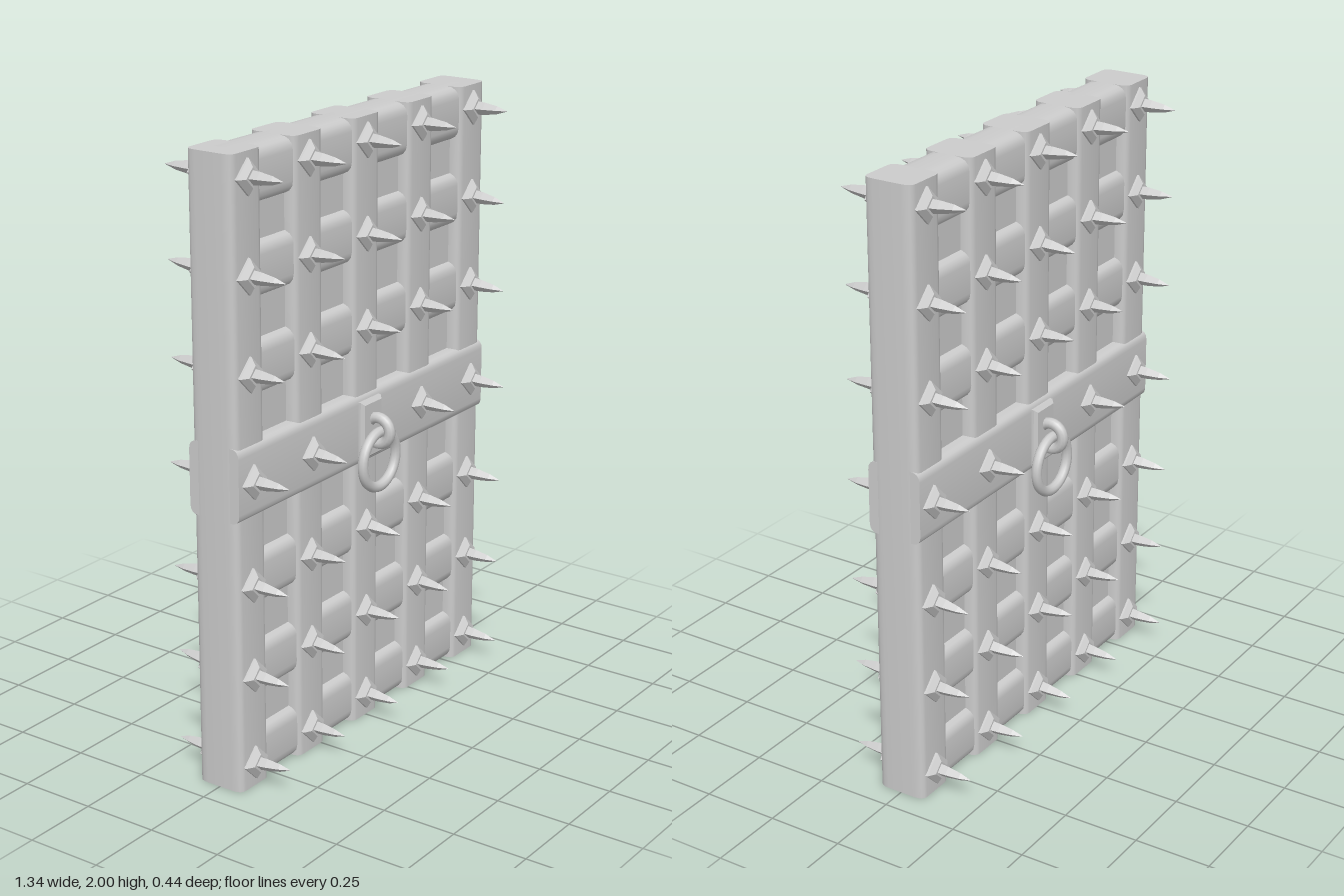
import * as THREE from 'three';
import { toCreasedNormals } from 'three/addons/utils/BufferGeometryUtils.js';

const material = new THREE.MeshStandardMaterial({ color: 0xcccccc });
const columns = [-0.596, -0.298, 0, 0.298, 0.596];
const rows = [0.08, 0.375, 0.672, 1.337, 1.633, 1.925];
const bandY = 1.006;

function add(parent, name, geometry, x = 0, y = 0, z = 0) {
  const mesh = new THREE.Mesh(geometry, material);
  mesh.name = name;
  mesh.position.set(x, y, z);
  parent.add(mesh);
  return mesh;
}

// Straight bar with softened long edges, centred, running along z
function softBar(halfW, halfD, cornerW, cornerD, length) {
  const s = new THREE.Shape();
  const w = halfW - cornerW, d = halfD - cornerD;
  s.moveTo(w, -halfD);
  s.quadraticCurveTo(halfW, -halfD, halfW, -d);
  s.lineTo(halfW, d);
  s.quadraticCurveTo(halfW, halfD, w, halfD);
  s.lineTo(-w, halfD);
  s.quadraticCurveTo(-halfW, halfD, -halfW, d);
  s.lineTo(-halfW, -d);
  s.quadraticCurveTo(-halfW, -halfD, -w, -halfD);
  s.closePath();
  const g = new THREE.ExtrudeGeometry(s, { depth: length, bevelEnabled: false, curveSegments: 4 });
  g.translate(0, 0, -length / 2);
  return toCreasedNormals(g, 0.9);
}

// Four-sided turned solid with flat faces, pointing along +z
function fourSided(profile) {
  const points = profile.map(([r, h]) => new THREE.Vector2(r, h));
  const g = new THREE.LatheGeometry(points, 4).toNonIndexed();
  g.computeVertexNormals();
  return g.rotateX(Math.PI / 2);
}

let seed = 7;
function jitter(amount) {
  seed = (seed * 16807) % 2147483647;
  return (seed / 2147483647 - 0.5) * 2 * amount;
}

export function createModel() {
  const door = new THREE.Group();
  door.name = 'door';

  // Vertical planks
  const plank = softBar(0.073, 0.083, 0.024, 0.035, 2).rotateX(Math.PI / 2);
  for (const x of columns) add(door, 'plank', plank, x, 1, 0);

  // Cross slats and the thin panel behind them
  const slat = softBar(0.074, 0.086, 0.045, 0.04, 1.2).rotateY(Math.PI / 2).rotateX(Math.PI);
  for (const y of rows) add(door, 'slat', slat, 0, y === 0.08 ? 0.086 : Math.min(y, 1.914), 0);
  add(door, 'panel', new THREE.BoxGeometry(1.2, 1.96, 0.09), 0, 1, 0);

  // Middle band
  const band = softBar(0.092, 0.118, 0.03, 0.03, 1.336).rotateY(Math.PI / 2);
  add(door, 'band', band, 0, bandY, 0);

  const studBase = fourSided([[0.056, 0], [0.056, 0.009], [0.031, 0.024], [0, 0.024]]);
  const spike = fourSided([[0.022, 0], [0.02, 0.03], [0.013, 0.075], [0.001, 0.112]]);
  const plate = new THREE.ExtrudeGeometry(
    new THREE.Shape([[-0.045, -0.086], [0.045, -0.086], [0.045, 0.086], [-0.045, 0.086]]
      .map(([x, y]) => new THREE.Vector2(x, y))),
    { depth: 0.02, bevelSize: 0.01, bevelThickness: 0.01, bevelSegments: 1 });
  const eye = new THREE.TorusGeometry(0.043, 0.018, 10, 24).rotateY(Math.PI / 2);
  const ring = new THREE.TorusGeometry(0.091, 0.017, 10, 36);

  // Studs and ring pull, the same on both faces
  for (const face of [0, 1]) {
    const side = new THREE.Group();
    side.name = face ? 'backFittings' : 'frontFittings';
    side.rotation.y = face * Math.PI;
    door.add(side);

    for (const y of [...rows, bandY]) {
      for (const x of columns) {
        const onBand = y === bandY;
        if (onBand && x === 0) continue;
        const z = onBand ? 0.09 : 0.081;
        add(side, 'studBase', studBase, x, y, z);
        const tip = add(side, 'spike', spike, x, y, z + 0.02);
        tip.rotation.set(jitter(0.06), jitter(0.06), 0);
      }
    }

    add(side, 'pullPlate', plate, 0, bandY, 0.08);
    add(side, 'pullEye', eye, 0, 1.002, 0.13);
    add(side, 'pullRing', ring, 0, 0.907, 0.134);
  }
  return door;
}
